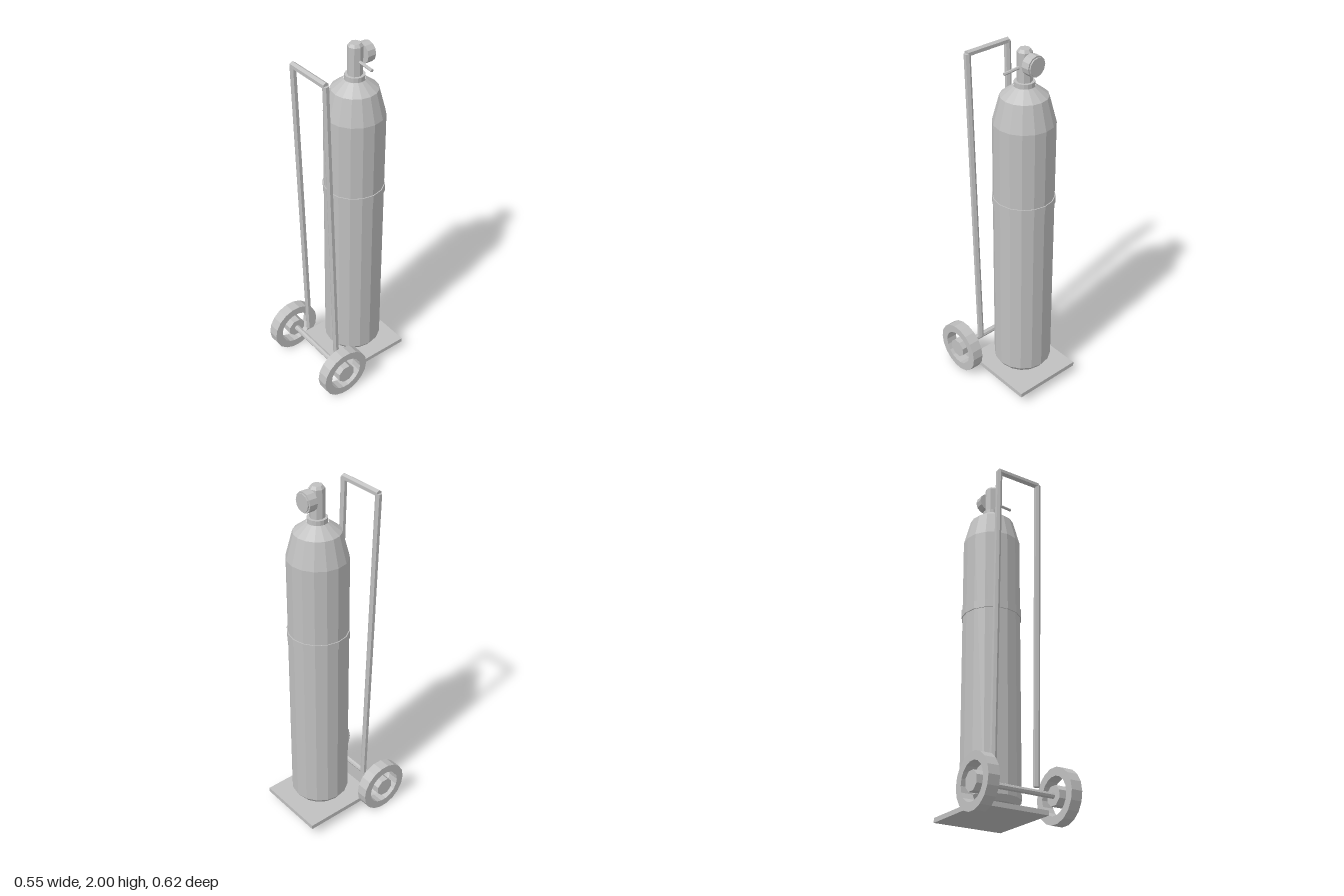
import * as THREE from 'three';

export function createModel() {
  const model = new THREE.Group();
  model.name = 'gasCylinderTrolley';
  const steel = new THREE.MeshStandardMaterial({ color: 0xc0c0c0, flatShading: true });
  steel.name = 'grey steel';

  const add = (name, geometry, x = 0, y = 0, z = 0) => {
    const mesh = new THREE.Mesh(geometry, steel);
    mesh.name = name;
    mesh.position.set(x, y, z);
    model.add(mesh);
    return mesh;
  };
  const lathe = (points, sides) =>
    new THREE.LatheGeometry(points.map(([r, y]) => new THREE.Vector2(r, y)), sides);
  // straight bar between two points
  const bar = (name, a, b, radius, sides) => {
    const from = new THREE.Vector3(...a), to = new THREE.Vector3(...b);
    const dir = to.clone().sub(from);
    const mesh = add(name, new THREE.CylinderGeometry(radius, radius, dir.length(), sides));
    mesh.position.copy(from).add(to).multiplyScalar(0.5);
    mesh.quaternion.setFromUnitVectors(new THREE.Vector3(0, 1, 0), dir.normalize());
    return mesh;
  };

  const tankZ = -0.093;

  // gas bottle with chamfered base and stepped shoulder
  add('tank', lathe([[0, 0.113], [0.137, 0.113], [0.159, 0.143], [0.159, 1.62],
    [0.122, 1.76], [0.055, 1.812]], 16), 0, 0, tankZ);
  add('neckRing', lathe([[0.052, 1.80], [0.052, 1.835], [0, 1.835]], 16), 0, 0, tankZ);
  add('strap', lathe([[0.157, 1.155], [0.164, 1.155], [0.164, 1.2], [0.157, 1.2]], 16), 0, 0, tankZ);

  // valve with round gauge at the back and lever at the side
  add('valve', lathe([[0.039, 1.83], [0.039, 1.985], [0.028, 2.0], [0, 2.0]], 8), 0, 0, tankZ);
  const gauge = add('gauge', lathe([[0, 0], [0.054, 0], [0.054, 0.046], [0.046, 0.046],
    [0.046, 0.053], [0, 0.053]], 12), 0, 1.933, -0.131);
  gauge.rotation.x = -Math.PI / 2;
  bar('lever', [0.03, 1.912, tankZ], [0.129, 1.905, tankZ], 0.008, 6);

  // base plate
  add('basePlate', new THREE.BoxGeometry(0.4, 0.025, 0.437), 0, 0.066, -0.0915);

  // axle, wheels and hubs
  const axleY = 0.144, axleZ = 0.1635;
  bar('axle', [-0.23, axleY, axleZ], [0.23, axleY, axleZ], 0.016, 8);
  for (const side of [-1, 1]) {
    const wheel = add('wheel', lathe([[0.1, -0.0315], [0.145, -0.0315], [0.145, 0.0315],
      [0.1, 0.0315], [0.1, -0.0315]], 18), side * 0.2365, axleY, axleZ);
    wheel.rotation.z = Math.PI / 2;
    const hub = add('hub', new THREE.CylinderGeometry(0.054, 0.054, 0.072, 8),
      side * 0.2365, axleY, axleZ);
    hub.rotation.set(Math.PI / 8, 0, Math.PI / 2, 'XYZ');

    // leaning handle upright
    bar('handleUpright', [side * 0.128, 0.185, 0.126], [side * 0.128, 1.918, 0.181], 0.0175, 6);
  }
  const grip = add('handleGrip', new THREE.CylinderGeometry(0.0175, 0.0175, 0.262, 6), 0, 1.918, 0.181);
  grip.rotation.set(Math.PI / 2, 0, Math.PI / 2);

  return model;
}
